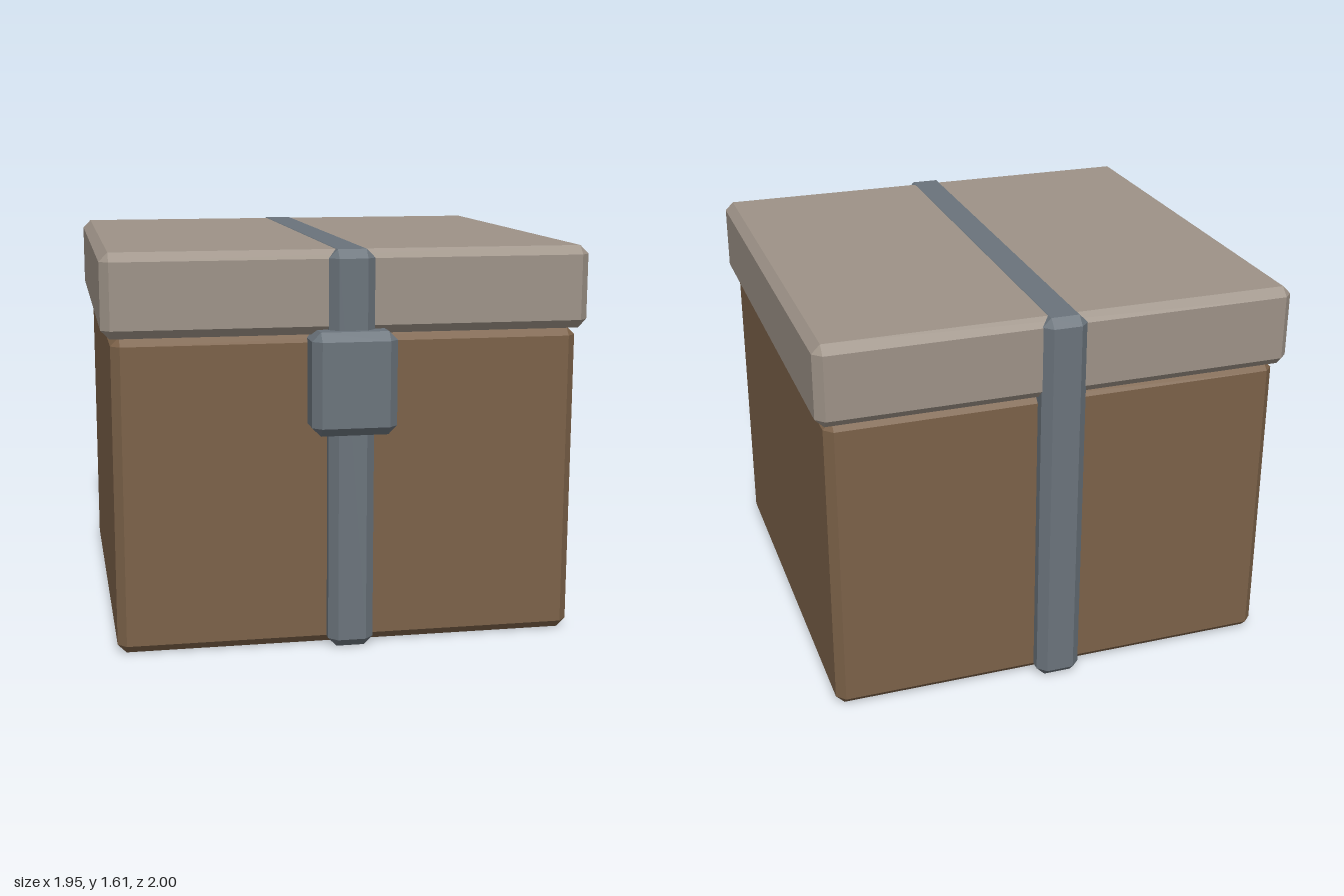
import * as THREE from 'three';
import { ConvexGeometry } from 'three/addons/geometries/ConvexGeometry.js';

const BEVEL = 0.035;

// Box between two corners with every edge cut at 45 degrees
function chamferedBox(min, max, bevel = BEVEL) {
  const points = [];
  for (const x of [0, 1]) for (const y of [0, 1]) for (const z of [0, 1]) {
    const side = [x, y, z];
    // Three points per corner, one on each of the faces that meet there
    for (let face = 0; face < 3; face++) {
      const p = side.map((s, axis) => {
        const inset = axis === face ? 0 : bevel;
        return s ? max[axis] - inset : min[axis] + inset;
      });
      points.push(new THREE.Vector3(...p));
    }
  }
  return new ConvexGeometry(points);
}

export function createModel() {
  const group = new THREE.Group();
  const material = (color) => new THREE.MeshStandardMaterial({ color, flatShading: true });
  const wood = material(0x7b6148);
  const paleWood = material(0x9d9287);
  const metal = material(0x6a737b);

  const add = (name, mat, min, max) => {
    const mesh = new THREE.Mesh(chamferedBox(min, max), mat);
    mesh.name = name;
    group.add(mesh);
  };

  // Crate body and the wider lid on top
  add('body', wood, [-0.938, 0.002, -0.927], [0.938, 1.28, 0.867]);
  add('lid', paleWood, [-0.975, 1.277, -0.968], [0.975, 1.61, 0.9]);

  // Strap around the whole crate, a hair proud of the lid and base
  add('strap', metal, [-0.092, 0, -1], [0.092, 1.612, 0.935]);

  // Buckle on the front of the strap
  add('buckle', metal, [-0.17, 0.887, 0.8], [0.17, 1.297, 1]);

  return group;
}
